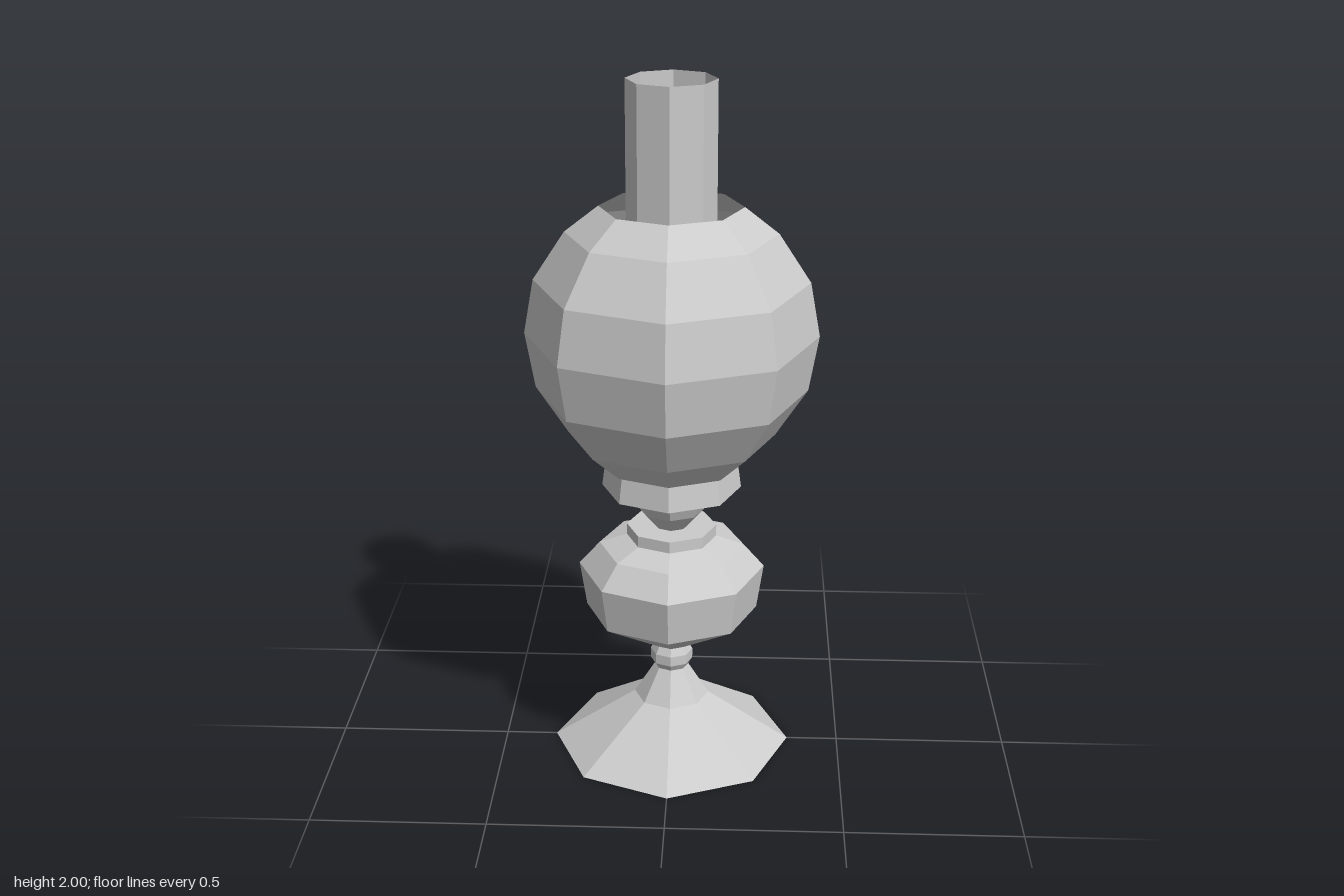
import * as THREE from 'three';

const SIDES = 8;

export function createModel() {
  const lamp = new THREE.Group();
  lamp.name = 'oilLamp';
  const material = new THREE.MeshStandardMaterial({
    color: 0xcccccc, flatShading: true, side: THREE.DoubleSide,
  });

  // Turns a [radius, height] profile, listed from bottom to top, into an octagonal part
  function turned(name, profile) {
    const points = profile.map(([r, y]) => new THREE.Vector2(r, y));
    const mesh = new THREE.Mesh(new THREE.LatheGeometry(points, SIDES), material);
    mesh.name = name;
    lamp.add(mesh);
  }

  // Hollow flared foot
  turned('foot', [[0.35, 0], [0.11, 0.155], [0.05, 0.25]]);

  // Small knop between foot and reservoir
  turned('stemKnop', [[0.05, 0.25], [0.062, 0.27], [0.062, 0.3], [0.05, 0.322]]);

  // Oil reservoir with its raised, flat-topped rim
  turned('reservoir', [
    [0.05, 0.322], [0.25, 0.444], [0.27, 0.577], [0.21, 0.645],
    [0.13, 0.672], [0.13, 0.706], [0.05, 0.706],
  ]);

  // Burner cup, widening upwards
  turned('burnerCup', [[0.05, 0.706], [0.095, 0.757], [0.125, 0.822]]);

  // Collar that carries the globe, with a sloped top reaching the chimney
  turned('burnerCollar', [[0.125, 0.822], [0.2, 0.828], [0.19, 0.902], [0.125, 0.95]]);

  // Globe shade, open at the top
  turned('globeShade', [
    [0.19, 0.902], [0.2, 0.905], [0.295, 0.99], [0.385, 1.125], [0.413, 1.285],
    [0.385, 1.44], [0.295, 1.578], [0.2, 1.652],
  ]);

  // Chimney tube, closed by a floor at the burner and open above
  turned('chimney', [[0, 0.95], [0.125, 0.95], [0.125, 2]]);

  return lamp;
}
